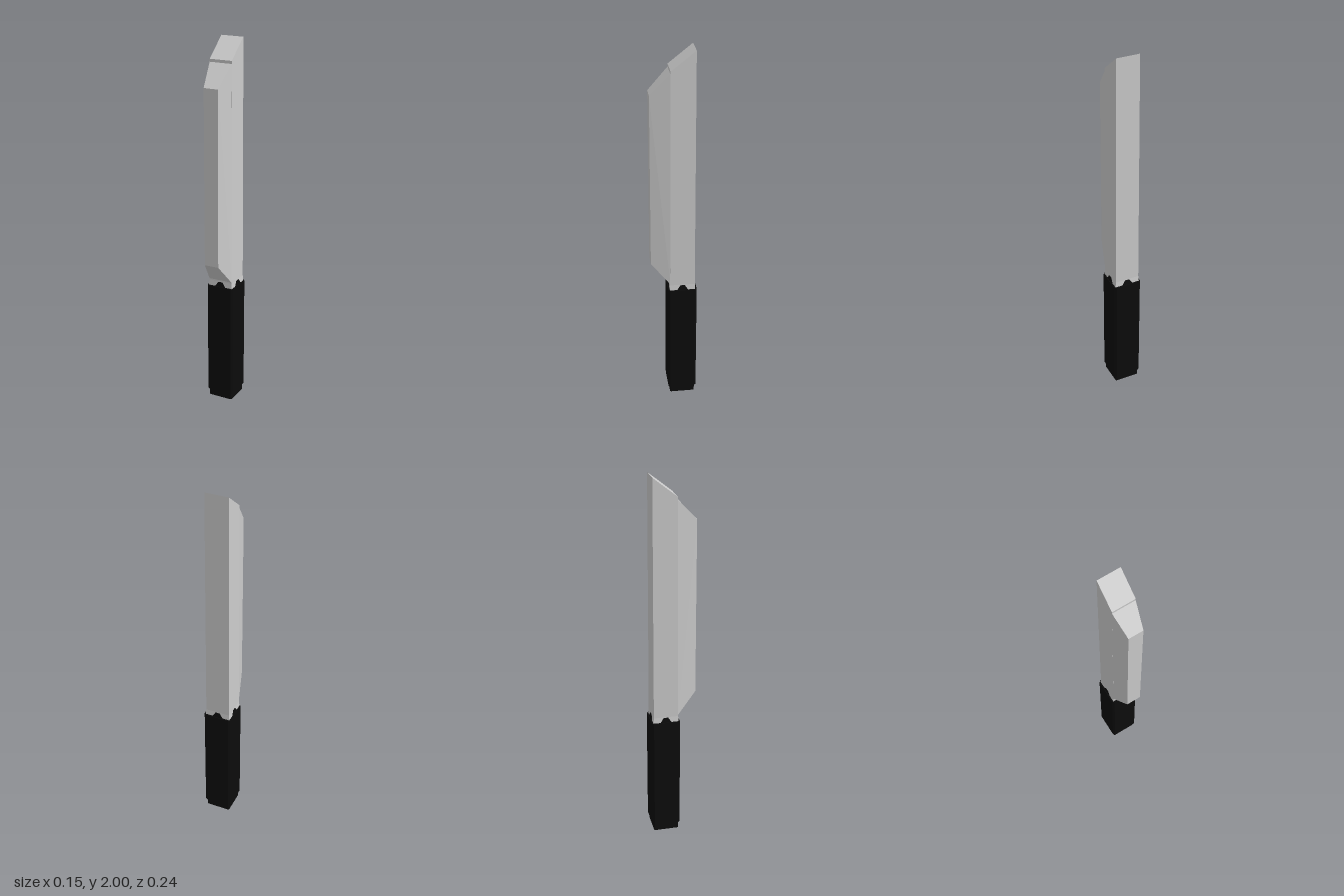
import * as THREE from 'three';
import { ConvexGeometry } from 'three/addons/geometries/ConvexGeometry.js';

const CZ = -0.045; // depth axis of the handle

export function createModel() {
  const group = new THREE.Group();
  const steel = new THREE.MeshStandardMaterial({ color: 0xcccccc, flatShading: true });
  const black = new THREE.MeshStandardMaterial({ color: 0x0c0c0c, flatShading: true });

  const add = (name, geometry, material) => {
    const mesh = new THREE.Mesh(geometry, material);
    mesh.name = name;
    group.add(mesh);
    return mesh;
  };

  // Convex solid mirrored across x, from [half width, y, z] corners
  const mirrored = (points) => new ConvexGeometry(points.flatMap(([x, y, z]) =>
    [new THREE.Vector3(x, y, z), new THREE.Vector3(-x, y, z)]));

  // Upright chamfered prism
  const prism = (hx, hz, chamfer, y0, y1) => {
    const c = chamfer;
    const outline = [[hx - c, -hz], [hx, c - hz], [hx, hz - c], [hx - c, hz],
      [c - hx, hz], [-hx, hz - c], [-hx, c - hz], [c - hx, -hz]];
    const shape = new THREE.Shape(outline.map(([x, y]) => new THREE.Vector2(x, y)));
    return new THREE.ExtrudeGeometry(shape, { depth: y1 - y0, bevelEnabled: false })
      .rotateX(-Math.PI / 2).translate(0, y0, CZ);
  };

  // Blade: thick spine with slanted tip, and a narrowing front edge
  add('bladeSpine', mirrored([
    [0.067, 0.705, -0.111], [0.067, 0.705, 0.022],
    [0.062, 2, -0.108], [0.062, 1.9, 0.018],
  ]), steel);
  add('bladeEdge', mirrored([
    [0.067, 0.71, 0.02], [0.062, 1.885, 0.018],
    [0.04, 0.83, 0.122], [0.04, 1.775, 0.122],
  ]), steel);

  // Neck between blade and handle
  add('neck', mirrored([
    [0.067, 0.705, -0.111], [0.067, 0.705, 0.022],
    [0.07, 0.67, -0.114], [0.07, 0.67, 0.024],
  ]), steel);

  // Handle grip and pommel
  add('grip', prism(0.077, 0.077, 0.01, 0.04, 0.675), black);
  add('pommel', prism(0.068, 0.068, 0.004, 0, 0.042), black);

  // Pointed tabs in the middle of each side of the neck
  const tab = new ConvexGeometry([
    [-0.03, 0.674, 0.05], [0.03, 0.674, 0.05], [-0.03, 0.674, 0.073], [0.03, 0.674, 0.073],
    [-0.012, 0.702, 0.05], [0.012, 0.702, 0.05], [-0.012, 0.702, 0.0705], [0.012, 0.702, 0.0705],
  ].map((p) => new THREE.Vector3(...p)));
  for (let i = 0; i < 4; i++) {
    const mesh = add('neckTab', tab, black);
    mesh.rotation.y = i * Math.PI / 2;
    mesh.position.z = CZ;
  }
  return group;
}
